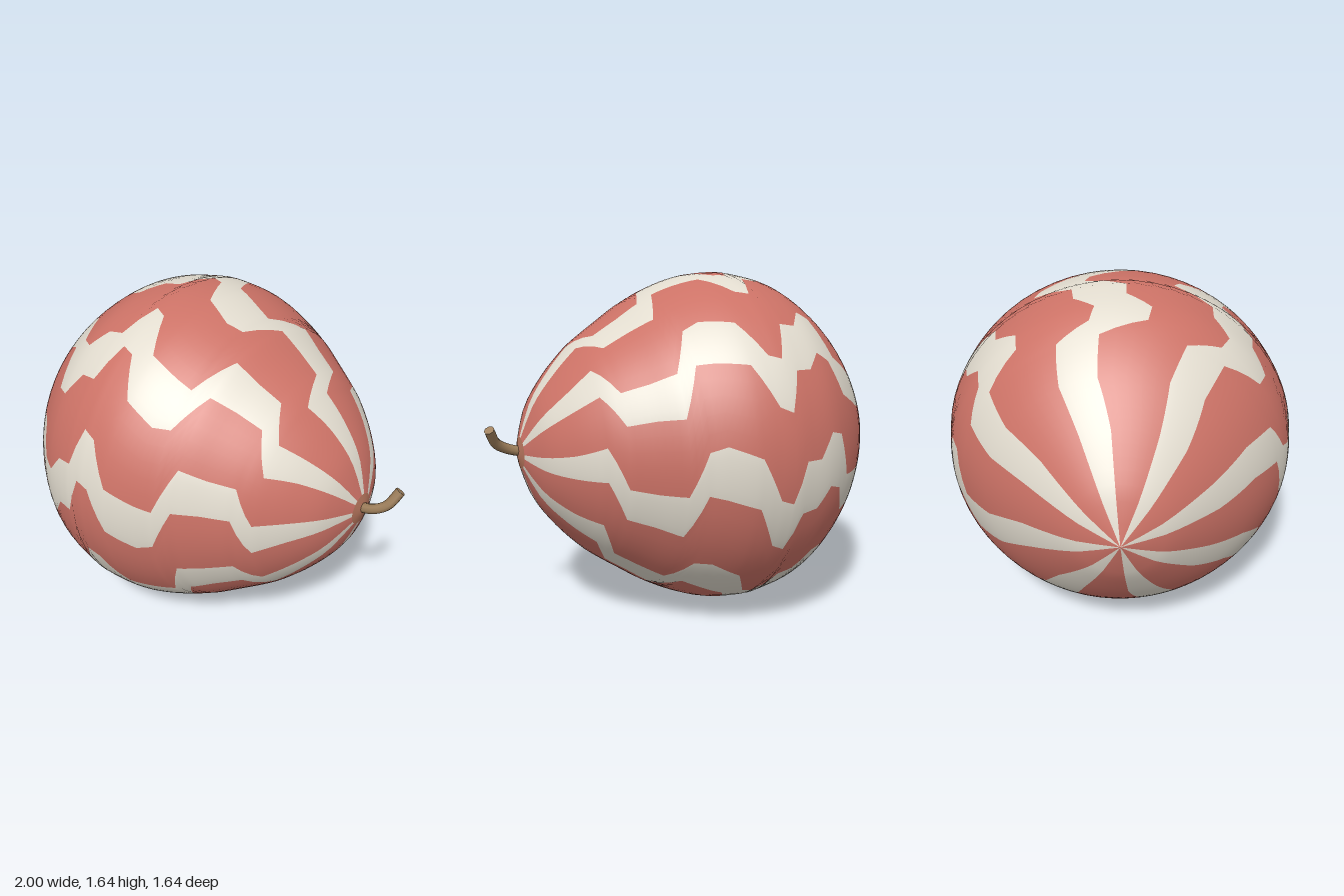
import * as THREE from 'three';

const paint = (name, color) => {
  const m = new THREE.MeshStandardMaterial({ color });
  m.name = name;
  return m;
};

// Rind outline: distance along the fruit (x) and radius there
const PROFILE = [
  [-1, 0], [-0.965, 0.11], [-0.92, 0.22], [-0.79, 0.415], [-0.645, 0.585], [-0.5, 0.705],
  [-0.365, 0.778], [-0.22, 0.812], [-0.147, 0.818], [0, 0.802], [0.14, 0.755], [0.28, 0.685],
  [0.39, 0.612], [0.5, 0.536], [0.57, 0.48], [0.675, 0.37], [0.77, 0.235], [0.83, 0.075],
];

// Zigzag stripe: x, upper and lower edge in degrees
const STRIPE = [
  [-1, 22, 5], [-0.79, 23, 5], [-0.645, 25, 9], [-0.5, 22, 7], [-0.435, 10, -9], [-0.365, 8, -10],
  [-0.29, 14.5, -2], [-0.21, 15, -2], [-0.15, 28, 11], [-0.09, 26, 9.5], [0, 12, -4],
  [0.14, 9, -8.5], [0.21, 8, -7], [0.285, 26, 9], [0.39, 25, 9.5], [0.495, 25, 9],
  [0.57, 7, -11], [0.675, 9, -7], [0.83, 12, -3],
];

const CY = 0.82, STRIPES = 8, COLS = 5;

function rindGeometry() {
  const spline = new THREE.SplineCurve(PROFILE.map(p => new THREE.Vector2(...p)));
  const samples = spline.getPoints(600);
  const radiusAt = x => {
    const k = Math.max(1, samples.findIndex(p => p.x >= x - 1e-9));
    const a = samples[k - 1], b = samples[k];
    return a.y + (b.y - a.y) * THREE.MathUtils.clamp((x - a.x) / (b.x - a.x), 0, 1);
  };

  // Rings at every zigzag corner, with extra rings between
  const rings = [];
  STRIPE.forEach((s, i) => {
    if (i === STRIPE.length - 1) return rings.push(s);
    const n = STRIPE[i + 1], steps = Math.ceil((n[0] - s[0]) / 0.03);
    for (let k = 0; k < steps; k++) rings.push(s.map((v, c) => v + (n[c] - v) * k / steps));
  });

  const positions = [], around = STRIPES * COLS * 2;
  for (const [x, up, low] of rings) {
    const r = radiusAt(x);
    for (let j = 0; j < around; j++) {
      const band = Math.floor(j / COLS), t = (j % COLS) / COLS;
      const period = 360 / STRIPES, base = Math.floor(band / 2) * period;
      const from = band % 2 ? up : low, to = band % 2 ? low + period : up;
      const a = THREE.MathUtils.degToRad(base + from + (to - from) * t);
      positions.push(x, CY + r * Math.sin(a), r * Math.cos(a));
    }
  }

  // Faces sorted into pale stripes and red gaps, sharing smooth normals
  const faces = [[], []];
  for (let i = 0; i < rings.length - 1; i++) {
    for (let j = 0; j < around; j++) {
      const a = i * around + j, b = i * around + (j + 1) % around;
      faces[Math.floor(j / COLS) % 2].push(a, a + around, b + around, a, b + around, b);
    }
  }
  const g = new THREE.BufferGeometry();
  g.setAttribute('position', new THREE.Float32BufferAttribute(positions, 3));
  g.setIndex([...faces[0], ...faces[1]]);
  g.addGroup(0, faces[0].length, 0);
  g.addGroup(faces[0].length, faces[1].length, 1);
  g.computeVertexNormals();
  return g;
}

export function createModel() {
  const red = paint('rind red', 0xcc7266);
  const cream = paint('stripe cream', 0xe2dccf);
  const brown = paint('stem brown', 0x9c7d59);
  const tan = paint('calyx tan', 0xb5755c);

  const model = new THREE.Group();
  model.name = 'stripedFruit';
  const add = (name, geometry, material) => {
    const mesh = new THREE.Mesh(geometry, material);
    mesh.name = name;
    model.add(mesh);
    return mesh;
  };

  add('stripedRind', rindGeometry(), [cream, red]);

  // Small cap where the stem joins
  const calyx = add('calyx', new THREE.ConeGeometry(0.078, 0.02, 24), tan);
  calyx.rotation.z = -Math.PI / 2;
  calyx.position.set(0.839, CY, 0);

  // Bent stem with a closed tip
  const path = new THREE.CatmullRomCurve3([
    [0.82, 0.825, 0], [0.89, 0.845, 0], [0.945, 0.88, -0.02], [0.98, 0.95, -0.06],
  ].map(p => new THREE.Vector3(...p)));
  add('stem', new THREE.TubeGeometry(path, 12, 0.024, 8), brown);
  const tip = add('stemTip', new THREE.CircleGeometry(0.024, 8), brown);
  tip.position.copy(path.getPoint(1));
  tip.quaternion.setFromUnitVectors(new THREE.Vector3(0, 0, 1), path.getTangent(1));

  return model;
}
